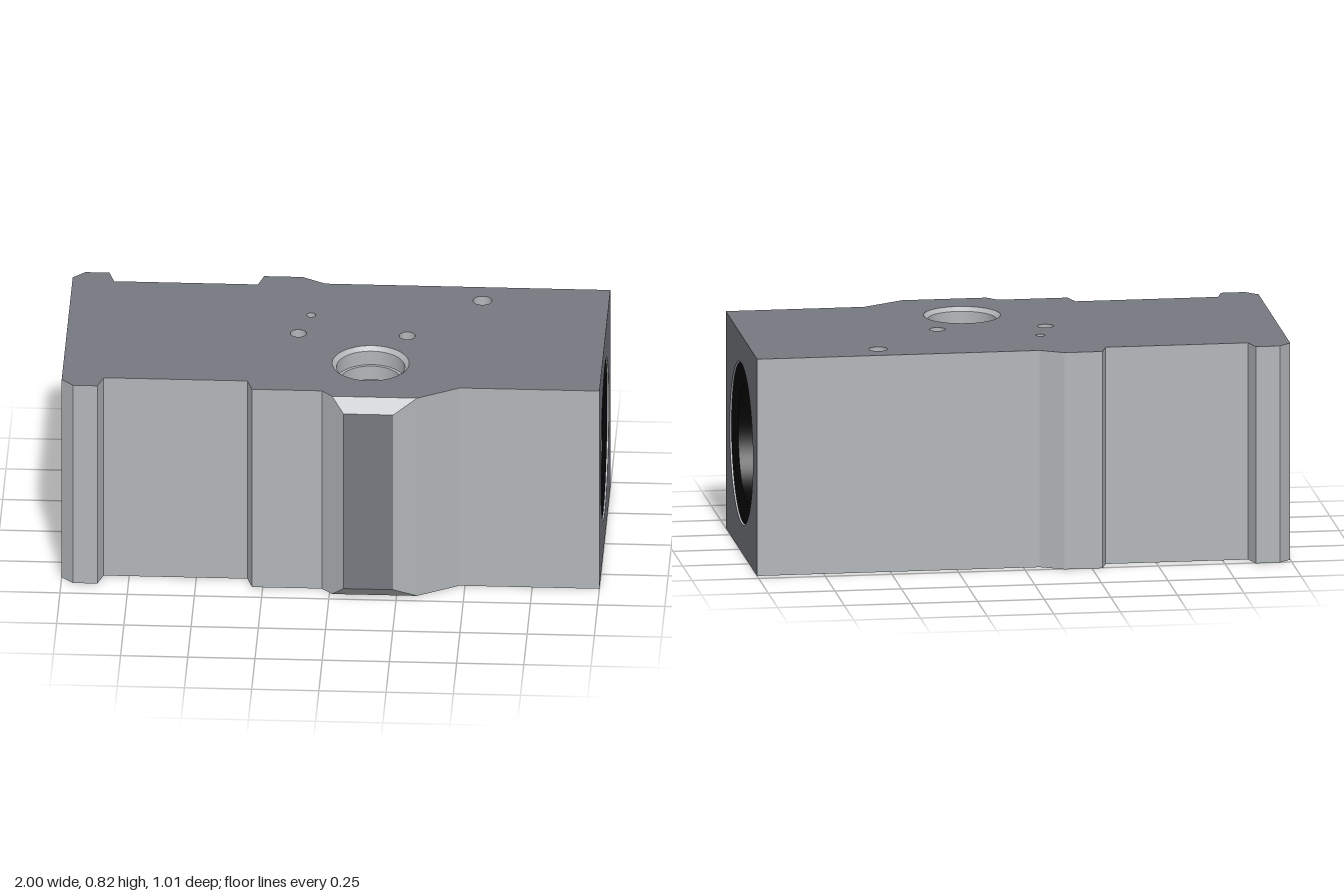
import * as THREE from 'three';

const Y0 = 0.006, Y1 = 0.831;             // bottom and top of the block
const CY = 0.42, CZ = -0.043, R = 0.305;  // axis and radius of the main bore

const paint = (color) => new THREE.MeshStandardMaterial({ color, side: THREE.DoubleSide });
const cast = paint(0xb2b6b9);      // side walls and holes
const machined = paint(0x777981);  // milled faces
const black = paint(0x070707);     // sleeves

// Surface from a rule f(u, v) -> [x, y, z]
function surface(f, nu, nv) {
  const g = new THREE.PlaneGeometry(1, 1, nu, nv);
  const p = g.attributes.position;
  for (let i = 0; i < p.count; i++) p.setXYZ(i, ...f(p.getX(i) + 0.5, p.getY(i) + 0.5));
  g.computeVertexNormals();
  return g;
}

// Flat face with round holes, mapped from 2D (a, b) into place
function plate(points, holes, place) {
  const shape = new THREE.Shape(points.map(([a, b]) => new THREE.Vector2(a, b)));
  for (const [a, b, r] of holes) shape.holes.push(new THREE.Path().absarc(a, b, r, 0, Math.PI * 2, true));
  const g = new THREE.ShapeGeometry(shape, 64);
  const p = g.attributes.position;
  for (let i = 0; i < p.count; i++) p.setXYZ(i, ...place(p.getX(i), p.getY(i)));
  g.computeVertexNormals();
  return g;
}

export function createModel() {
  const model = new THREE.Group();
  const add = (parent, name, geometry, material = cast) => {
    const m = new THREE.Mesh(geometry, material);
    m.name = name;
    parent.add(m);
  };
  const group = (name) => {
    const g = new THREE.Group();
    g.name = name;
    model.add(g);
    return g;
  };
  // Sharp-edged revolved profile of [radius, height] points
  const revolve = (parent, name, profile, place, material = cast, seg = 64) => {
    for (let i = 0; i + 1 < profile.length; i++) {
      const [ra, ha] = profile[i], [rb, hb] = profile[i + 1];
      add(parent, name, surface((u, v) => {
        const t = u * Math.PI * 2, r = ra + (rb - ra) * v;
        return place(r * Math.cos(t), r * Math.sin(t), ha + (hb - ha) * v);
      }, seg, 1), material);
    }
  };
  const alongX = (y, z) => (a, b, h) => [h, y + a, z + b];
  const alongY = (x, z) => (a, b, h) => [x + a, h, z + b];

  // Outline seen from above: [x, z, inset of top and bottom edges]
  const outline = [
    [1, -0.457], [-0.06, -0.457], [-0.147, -0.507], [-0.29, -0.507], [-0.31, -0.438], [-0.845, -0.438],
    [-0.865, -0.507], [-0.955, -0.507], [-1, -0.462], [-1, 0.372], [-0.955, 0.417], [-0.865, 0.417],
    [-0.845, 0.35], [-0.31, 0.35], [-0.29, 0.417], [-0.03, 0.417], [0.01, 0.459],
    [0.055, 0.507, 0.048], [0.24, 0.507, 0.048], [0.326, 0.459], [0.48, 0.368], [1, 0.368],
  ];
  const port = [0.14, 0.182, 0.115], oilHole = [0.53, -0.348, 0.035];
  const topPins = [[-0.14, -0.048, 0.03], [0.265, -0.048, 0.03], [-0.1, -0.2, 0.017]];
  const bolts = [-1, 1].flatMap((a) => [-1, 1].map((b) => [CZ + a * 0.295, CY + b * 0.298, 0.07]));
  const endPins = [[-0.205, 0.757, 0.028], [0.284, 0.573, 0.025], [-0.381, 0.266, 0.028]];

  // Milled outer faces of the block
  const body = group('body');
  const flat = outline.filter((p) => !p[2]);
  add(body, 'topFace', plate(flat, [[0.14, 0.182, 0.143], oilHole, ...topPins], (x, z) => [x, Y1, z]), machined);
  add(body, 'bottomFace', plate(flat, [port, oilHole], (x, z) => [x, Y0, z]), machined);
  const endRect = (z0, z1) => [[z0, Y0], [z1, Y0], [z1, Y1], [z0, Y1]];
  add(body, 'leftEnd', plate(endRect(-0.457, 0.368), [[CZ, CY, R]], (z, y) => [1, y, z]), machined);
  add(body, 'rightEnd', plate(endRect(-0.462, 0.372), [[CZ, CY, 0.32], ...bolts, ...endPins],
    (z, y) => [-1, y, z]), machined);

  // Side walls between neighbouring outline points; the boss front is milled
  outline.forEach(([xa, za, ia = 0], i) => {
    const [xb, zb, ib = 0] = outline[(i + 1) % outline.length];
    if (xa === xb) return;
    const isBoss = ia > 0 && ib > 0;
    add(body, isBoss ? 'bossFront' : 'sideWall', surface((u, v) => {
      const inset = ia + (ib - ia) * u;
      return [xa + (xb - xa) * u, Y0 + inset + (Y1 - Y0 - 2 * inset) * v, za + (zb - za) * u];
    }, 1, 1), isBoss ? machined : cast);
  });
  // Sloped edges above and below the front boss
  for (const [y, s] of [[Y1, -1], [Y0, 1]]) {
    add(body, 'bossChamfer', surface((u, v) => {
      const a = 0.01 + 0.045 * v, b = 0.326 - 0.086 * v;
      return [a + (b - a) * u, y + s * 0.048 * v, 0.459 + 0.048 * v];
    }, 1, 1));
  }

  // Main bore wall, left open where the two vertical holes break in
  const bore = group('mainBore');
  const cuts = [port, oilHole];
  for (let k = 0; k <= cuts.length; k++) {
    const edge = (cut, side, z) =>
      cut[0] + side * Math.sqrt(Math.max(0, cut[2] ** 2 - (z - cut[1]) ** 2));
    add(bore, 'boreWall', surface((u, v) => {
      const t = u * Math.PI * 2, z = CZ + R * Math.cos(t);
      const a = k === 0 ? -0.9 : edge(cuts[k - 1], 1, z);
      const b = k === cuts.length ? 1 : edge(cuts[k], -1, z);
      return [a + (b - a) * v, CY + R * Math.sin(t), z];
    }, 360, 1));
  }
  const axis = alongX(CY, CZ);
  revolve(bore, 'boreMouth', [[0.32, -1], [0.31, -0.99], [0.31, -0.9], [0.295, -0.9]], axis, cast, 96);

  // Black sleeves inside both ends of the bore
  const sleeves = group('sleeves');
  revolve(sleeves, 'leftSleeve', [[0.302, 0.28], [0.302, 0.994], [0.22, 0.98],
    [0.22, 0.55], [0.17, 0.55], [0.17, 0.28], [0.302, 0.28]], axis, black, 96);
  revolve(sleeves, 'rightSleeve', [[0.302, -0.01], [0.302, -0.9], [0.285, -0.9], [0.28, -0.88],
    [0.22, -0.87], [0.22, -0.4], [0.17, -0.4], [0.17, -0.01], [0.302, -0.01]], axis, black, 96);

  // Vertical through holes, trimmed where they meet the bore
  const drilled = group('verticalHoles');
  const drill = (name, [x, z, r], top) => {
    for (const [yEnd, s] of [[top, 1], [Y0, -1]]) {
      add(drilled, name, surface((u, v) => {
        const t = u * Math.PI * 2, pz = z + r * Math.sin(t);
        const y = CY + s * Math.sqrt(Math.max(0, R * R - (pz - CZ) ** 2));
        return [x + r * Math.cos(t), yEnd + (y - yEnd) * v, pz];
      }, 96, 1));
    }
  };
  drill('port', port, 0.76);
  drill('oilHole', oilHole, Y1);
  revolve(drilled, 'oilHolePlug', [[0.035, CY], [0, CY]], alongY(oilHole[0], oilHole[1]), black, 32);
  revolve(drilled, 'portMouth', [[0.143, Y1], [0.127, 0.816], [0.127, 0.76], [0.115, 0.76]], alongY(0.14, 0.182));

  // Blind holes in the top and in the right end
  const blind = group('blindHoles');
  for (const [x, z, r] of topPins) {
    revolve(blind, 'topPinHole', [[r, Y1], [r, Y1 - 0.06], [0, Y1 - 0.06]], alongY(x, z), cast, 32);
  }
  for (const [z, y, r] of bolts) {
    revolve(blind, 'boltHole', [[r, -1], [r, -0.75], [0, -0.72]], alongX(y, z), cast, 48);
  }
  for (const [z, y, r] of endPins) {
    revolve(blind, 'endPinHole', [[r, -1], [r, -0.9], [0, -0.89]], alongX(y, z), cast, 32);
  }
  return model;
}
